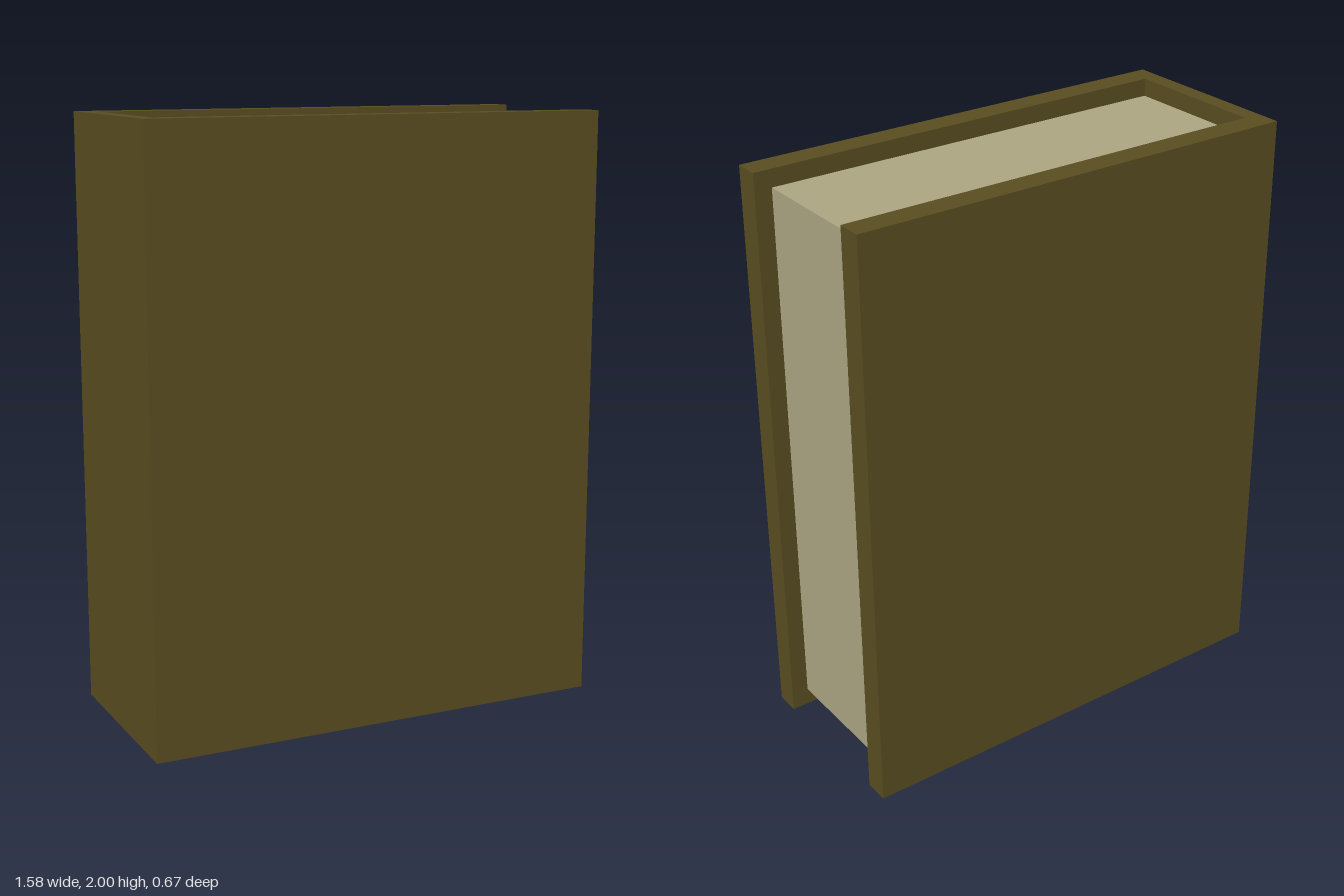
import * as THREE from 'three';

const WIDTH = 1.58, HEIGHT = 2, DEPTH = 0.67;
const BOARD = 0.085;    // cover board thickness
const MARGIN = 0.06;    // spine thickness and overhang past the pages

export function createModel() {
  const coverMaterial = new THREE.MeshStandardMaterial({ color: 0x594d20 });
  coverMaterial.name = 'olive cover';
  const pageMaterial = new THREE.MeshStandardMaterial({ color: 0xaba582 });
  pageMaterial.name = 'cream paper';

  const book = new THREE.Group();
  book.name = 'book';

  // U-shaped cover: two boards joined by the spine at -x, open at +x
  const x = WIDTH / 2, z = DEPTH / 2, inner = z - BOARD;
  const outline = new THREE.Shape([
    [-x, -z], [x, -z], [x, -inner], [-x + MARGIN, -inner],
    [-x + MARGIN, inner], [x, inner], [x, z], [-x, z],
  ].map(([px, pz]) => new THREE.Vector2(px, pz)));
  const coverGeometry = new THREE.ExtrudeGeometry(outline, { depth: HEIGHT, bevelEnabled: false });
  coverGeometry.rotateX(-Math.PI / 2);
  const cover = new THREE.Mesh(coverGeometry, coverMaterial);
  cover.name = 'cover';
  book.add(cover);

  // Page block, inset from the cover edges
  const pages = new THREE.Mesh(
    new THREE.BoxGeometry(WIDTH - 2 * MARGIN, HEIGHT - 2 * MARGIN, 2 * inner),
    pageMaterial,
  );
  pages.name = 'pages';
  pages.position.y = HEIGHT / 2;
  book.add(pages);

  return book;
}
